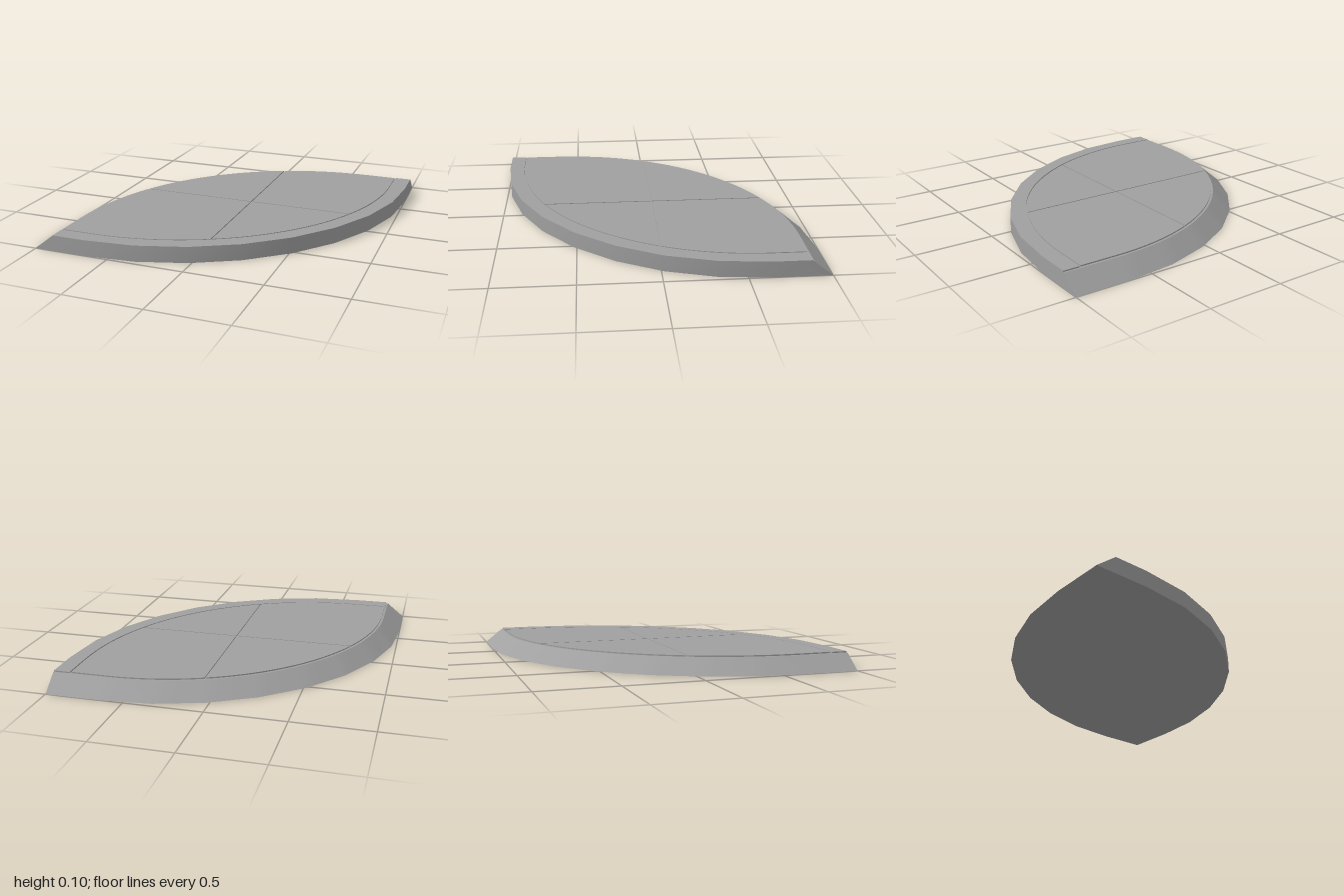
import * as THREE from 'three';

const H = 0.104;      // full height
const FLOOR = 0.096;  // groove floor

const grey = new THREE.MeshStandardMaterial({ color: 0xa0a0a0 });
grey.name = 'grey';

// One curved side of the leaf: straight end, quarter arc of n steps laid on `chords` chords, straight end.
function sideA(r, end, n, chords = n) {
  const at = k => {
    const a = Math.PI - (k / chords) * Math.PI / 2;
    return new THREE.Vector2(0.65 + r * Math.cos(a), -0.65 + r * Math.sin(a));
  };
  const pts = [new THREE.Vector2(0.65 - r, -end)];
  for (let i = 0; i <= n; i++) {
    const t = (i / n) * chords, k = Math.min(Math.floor(t), chords - 1);
    pts.push(at(k).lerp(at(k + 1), t - k));
  }
  pts.push(new THREE.Vector2(end, r - 0.65));
  return pts;
}
// The opposite side is a half turn of the first
const sideB = (...args) => sideA(...args).map(p => p.negate());

// Smooth wall between a lower and an upper line
function wall(low, high, y) {
  const pos = [], idx = [];
  low.forEach((p, i) => {
    pos.push(p.x, p.y, 0, high[i].x, high[i].y, y);
    if (i < low.length - 1) {
      const a = 2 * i;
      idx.push(a, a + 1, a + 2, a + 2, a + 1, a + 3);
    }
  });
  const g = new THREE.BufferGeometry();
  g.setAttribute('position', new THREE.Float32BufferAttribute(pos, 3));
  g.setIndex(idx);
  g.computeVertexNormals();
  return g;
}

// Cut a convex outline, keeping the part where sign * (p[axis] - value) >= 0
function clip(pts, axis, sign, value) {
  const out = [];
  pts.forEach((p, i) => {
    const q = pts[(i + 1) % pts.length];
    const a = sign * (p[axis] - value), b = sign * (q[axis] - value);
    if (a >= 0) out.push(p);
    if (a * b < 0) out.push(p.clone().lerp(q, a / (a - b)));
  });
  return out;
}

export function createModel() {
  const model = new THREE.Group();
  const add = (name, geometry) => {
    geometry.rotateX(-Math.PI / 2);
    const mesh = new THREE.Mesh(geometry, grey);
    mesh.name = name;
    model.add(mesh);
  };
  const slab = pts => new THREE.ExtrudeGeometry(new THREE.Shape(pts), { depth: H - FLOOR, bevelEnabled: false })
    .translate(0, 0, FLOOR);

  // Base: sloped side, upright side, underside and groove floor
  add('slopedSide', wall(sideA(1.65, 1, 32, 8), sideA(1.53, 1, 32), FLOOR));
  const low = sideB(1.65, 1, 8), high = sideB(1.65, 0.87, 8);
  add('uprightSide', wall(low, high, H));
  const bottom = new THREE.ShapeGeometry(new THREE.Shape([...sideA(1.65, 1, 8), ...low.slice(1, -1)]));
  add('underside', bottom.rotateX(Math.PI).scale(1, -1, -1).scale(1, 1, 1));
  // turn the underside to face down
  const index = bottom.index;
  const p = bottom.attributes.position, n = bottom.attributes.normal;
  for (let i = 0; i < index.count; i += 3) {
    const [a, b, c] = [0, 1, 2].map(k => index.getX(i + k));
    const v = [a, b, c].map(k => new THREE.Vector3().fromBufferAttribute(p, k));
    const up = v[1].sub(v[0]).cross(v[2].sub(v[0])).y > 0;
    if (up) { index.setX(i + 1, c); index.setX(i + 2, b); }
  }
  for (let i = 0; i < n.count; i++) n.setXYZ(i, 0, -1, 0);
  add('grooveFloor', new THREE.ShapeGeometry(new THREE.Shape(
    [...sideA(1.53, 1, 32), ...sideB(1.65, 0.88, 8)])).translate(0, 0, FLOOR));

  // Rim along the upright side
  add('rim', slab([...sideB(1.649, 0.87, 8), ...sideB(1.545, 0.87, 32).reverse()]));

  // Four top panels parted by narrow grooves
  const leaf = [...sideA(1.515, 0.885, 32), ...sideB(1.535, 0.865, 32)];
  for (const sx of [-1, 1]) {
    for (const sy of [-1, 1]) {
      const half = clip(leaf, 'x', sx, 0.062 + sx * 0.005);
      add('topPanel', slab(clip(half, 'y', sy, 0.004 + sy * 0.004)));
    }
  }
  return model;
}
